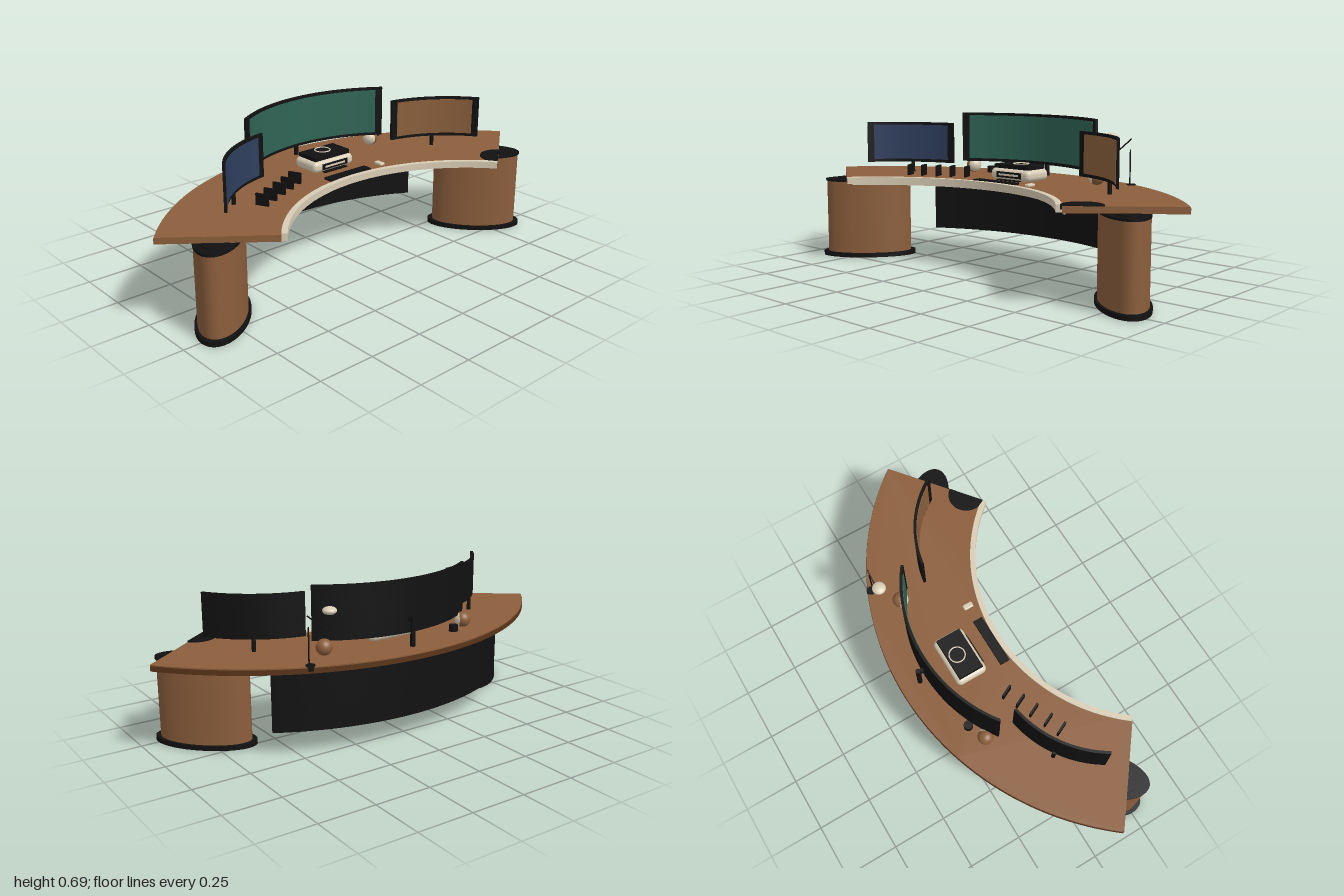
import * as THREE from 'three';
import { toCreasedNormals } from 'three/addons/utils/BufferGeometryUtils.js';
import { RoundedBoxGeometry } from 'three/addons/geometries/RoundedBoxGeometry.js';

const mat = (name, color) => Object.assign(new THREE.MeshStandardMaterial({ color }), { name });

export function createModel() {
  const wood = mat('wood', 0x8b5e3c);
  const darkWood = mat('dark wood', 0x5a3418);
  const black = mat('black', 0x111111);
  const cream = mat('cream', 0xd8ccb4);
  const teal = mat('teal screen', 0x2f6454);
  const navy = mat('navy screen', 0x2f3f5e);
  const amber = mat('amber screen', 0x8a5f3c);

  const model = new THREE.Group();
  const add = (name, geo, material, x = 0, y = 0, z = 0, parent = model) => {
    const m = new THREE.Mesh(geo, material);
    m.name = name;
    m.position.set(x, y, z);
    parent.add(m);
    return m;
  };
  // Upright extrusion of a plan shape whose +y points to the back
  const slab = (shape, y0, y1) => {
    const g = new THREE.ExtrudeGeometry(shape, { depth: y1 - y0, bevelEnabled: false, curveSegments: 48 });
    g.rotateX(-Math.PI / 2).translate(0, y0, 0);
    return toCreasedNormals(g, 0.5);
  };
  // Ring sector, symmetric about the back direction
  const sector = (r0, r1, half, y0, y1) => {
    const s = new THREE.Shape();
    s.absarc(0, 0, r1, Math.PI / 2 - half, Math.PI / 2 + half, false);
    s.absarc(0, 0, r0, Math.PI / 2 + half, Math.PI / 2 - half, true);
    s.closePath();
    return slab(s, y0, y1);
  };

  // Curved desk top
  const CZ = 0.873, HALF = 0.903;
  add('deskCore', sector(0.797, 1.273, HALF, 0.378, 0.4), darkWood, 0, 0, CZ);
  add('deskSurface', sector(0.797, 1.271, HALF, 0.4, 0.405), wood, 0, 0, CZ);
  add('frontRim', sector(0.773, 0.797, HALF, 0.38, 0.41), cream, 0, 0, CZ);
  add('underLight', sector(0.803, 0.811, HALF - 0.03, 0.37, 0.379), cream, 0, 0, CZ);
  add('modestyPanel', sector(1.189, 1.198, 0.525, 0.105, 0.365), black, 0, 0, CZ);
  for (const s of [-1, 1]) {
    const cap = add('deskEndCap', new THREE.BoxGeometry(0.004, 0.027, 0.474), wood,
      s * 1.034 * Math.sin(HALF), 0.3915, CZ - 1.034 * Math.cos(HALF));
    cap.rotation.y = -s * HALF;
  }

  // Half-round pad on the end of the desk
  const half = new THREE.Shape();
  half.absarc(0, 0, 0.083, 0, Math.PI, false);
  half.closePath();
  add('endPad', slab(half, 0.392, 0.411), black, 0.687, 0, 0.333).rotation.y = 0.663;

  // Oval pedestals
  for (const s of [-1, 1]) {
    const p = new THREE.Group();
    p.name = 'pedestal';
    p.position.set(s * 0.748, 0, 0.148);
    p.rotation.y = -s * Math.PI / 4;
    model.add(p);
    const oval = (name, k, y0, y1, m) => {
      const g = new THREE.CylinderGeometry(1, 1, y1 - y0, 64).scale(0.2007 * k, 1, 0.0964 * k);
      add(name, g, m, 0, (y0 + y1) / 2, 0, p);
    };
    oval('pedestalBase', 1.11, 0, 0.02, black);
    oval('pedestalBody', 1, 0.02, 0.364, wood);
    oval('pedestalTop', 1.025, 0.364, 0.374, black);
    oval('pedestalSpacer', 0.8, 0.374, 0.379, black);
  }

  // Curved monitors, placed by the apex of their back
  const monitor = (name, x, z, turn, R, a, screenA, y0, y1, screen) => {
    const g = new THREE.Group();
    g.name = name;
    g.position.set(x + R * Math.sin(turn), 0, z + R * Math.cos(turn));
    g.rotation.y = turn;
    model.add(g);
    add(name + 'Shell', sector(R - 0.012, R, a, y0, y1), black, 0, 0, 0, g);
    add(name + 'Screen', sector(R - 0.015, R - 0.012, screenA, y0 + 0.014, y1 - 0.012), screen, 0, 0, 0, g);
  };
  monitor('centreMonitor', 0, -0.285, 0, 0.68, 0.629, 0.579, 0.459, 0.692, teal);
  monitor('rightMonitor', -0.58, 0.008, 0.585, 0.51, 0.43, 0.37, 0.455, 0.646, navy);
  monitor('leftMonitor', 0.58, 0.008, -0.585, 0.51, 0.43, 0.37, 0.455, 0.646, amber);
  const post = (r, h) => new THREE.CylinderGeometry(r, r, h, 20);
  add('centreStand', post(0.011, 0.136), black, 0, 0.472, -0.309);
  add('centreMount', new THREE.BoxGeometry(0.016, 0.02, 0.024), black, 0, 0.52, -0.292);
  for (const s of [-1, 1]) add('sideStand', post(0.009, 0.07), black, s * 0.58, 0.44, 0.008);

  // Central console with black lid, ring and front display
  add('consoleBody', new RoundedBoxGeometry(0.23, 0.052, 0.145, 5, 0.022), cream, 0, 0.431, -0.107);
  add('consoleLid', new THREE.BoxGeometry(0.2, 0.018, 0.115), black, 0, 0.466, -0.108);
  add('lidRing', new THREE.TorusGeometry(0.035, 0.003, 10, 40).rotateX(Math.PI / 2), cream, 0, 0.476, -0.12);
  add('consoleDisplay', new THREE.BoxGeometry(0.145, 0.026, 0.004), black, 0, 0.431, -0.034);
  add('displayBar', new THREE.BoxGeometry(0.115, 0.009, 0.003), cream, 0, 0.431, -0.032);
  add('consoleTray', new THREE.BoxGeometry(0.13, 0.005, 0.02), black, 0, 0.407, -0.034);

  // Keyboard and mouse
  add('keyboard', new THREE.BoxGeometry(0.235, 0.009, 0.045), black, 0, 0.409, 0.053);
  add('mouse', new RoundedBoxGeometry(0.026, 0.014, 0.046, 4, 0.006), cream, 0.195, 0.411, 0.05);

  // Row of upright dividers
  const dividers = [[-0.502, 0.097], [-0.44, 0.07], [-0.372, 0.04], [-0.307, 0.013], [-0.243, -0.017]];
  for (const [x, z] of dividers) {
    add('divider', new THREE.BoxGeometry(0.009, 0.05, 0.058), black, x, 0.43, z).rotation.y = 0.44;
  }

  // Ball speakers with cream faces turned inward
  for (const s of [-1, 1]) {
    add('speakerBall', new THREE.SphereGeometry(0.035, 32, 20), wood, s * 0.367, 0.438, -0.197);
    const face = new THREE.SphereGeometry(0.0357, 32, 12, 0, Math.PI * 2, 0, 1.05).rotateX(Math.PI / 2);
    add('speakerFace', face, cream, s * 0.367, 0.438, -0.197).rotation.y = -s * Math.PI / 3;
  }
  add('cup', new THREE.CylinderGeometry(0.02, 0.02, 0.03, 24), black, -0.284, 0.419, -0.233);

  // Desk lamp
  add('lampBase', post(0.02, 0.022), black, 0.487, 0.398, -0.285);
  add('lampPost', post(0.003, 0.155), black, 0.487, 0.482, -0.275);
  add('lampArm', post(0.003, 0.112), black, 0.448, 0.57, -0.275).rotation.z = -0.88;
  add('lampHead', new THREE.SphereGeometry(0.03, 28, 18).scale(1, 0.55, 1), cream, 0.388, 0.612, -0.275);

  return model;
}
